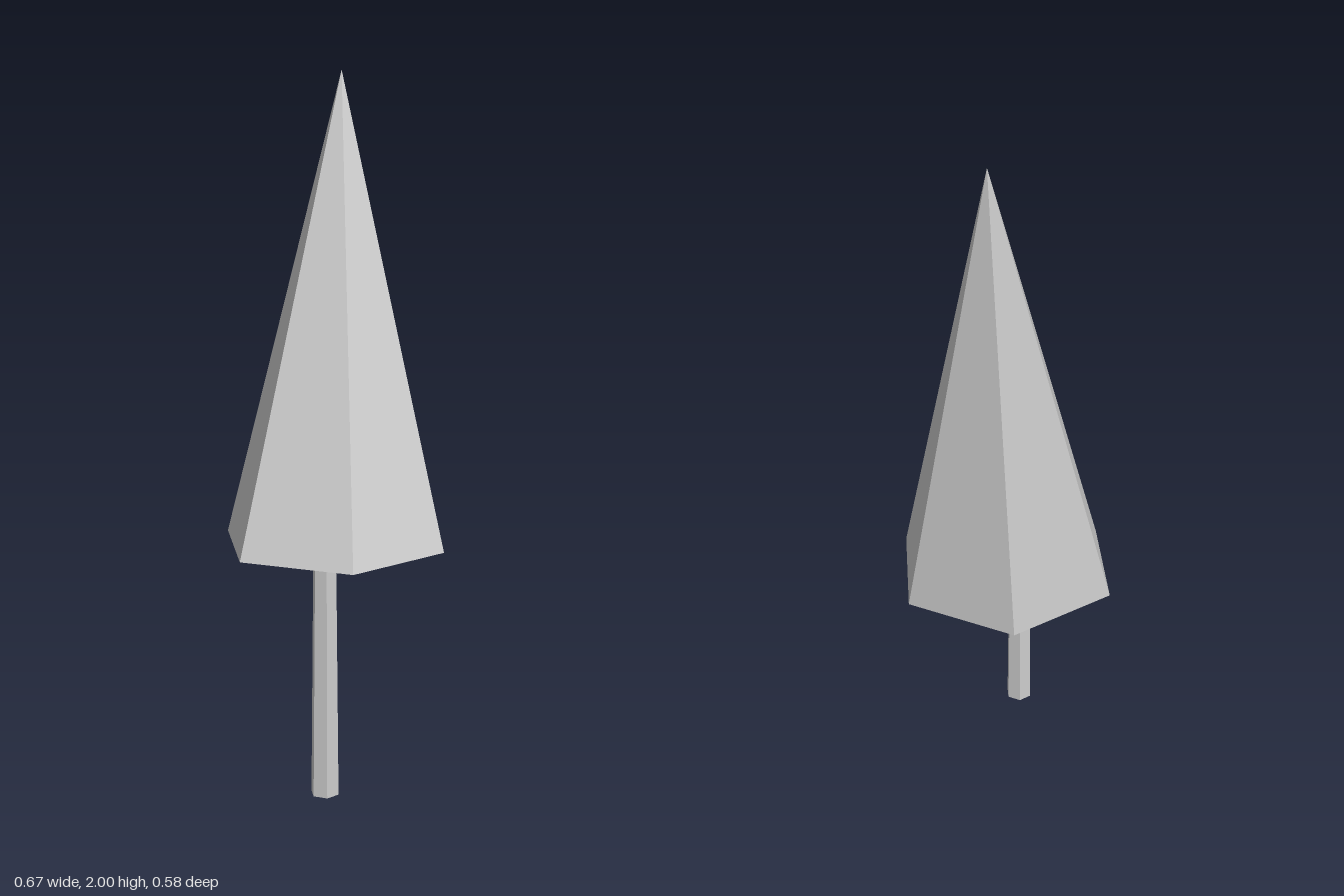
import * as THREE from 'three';

// Open hexagonal tube with corners on the +x and -x axes
function hexShell(topRadius, bottomRadius, height) {
  return new THREE.CylinderGeometry(topRadius, bottomRadius, height, 6, 1, true, Math.PI / 2);
}

export function createModel() {
  const group = new THREE.Group();
  const grey = new THREE.MeshStandardMaterial({
    name: 'light grey', color: 0xcccccc, flatShading: true, side: THREE.DoubleSide,
  });

  const baseY = 0.67, offset = 0.167;

  // Foliage: hollow six-sided cone, sheared so its tip leans to the back left
  const height = 2 - baseY;
  const cone = hexShell(0, 0.333, height).translate(0, height / 2, 0);
  const pos = cone.attributes.position;
  for (let i = 0; i < pos.count; i++) {
    const lean = offset * pos.getY(i) / height;
    pos.setX(i, pos.getX(i) + lean);
    pos.setZ(i, pos.getZ(i) - lean);
  }
  cone.computeVertexNormals();
  const foliage = new THREE.Mesh(cone, grey);
  foliage.name = 'foliage';
  foliage.position.y = baseY;

  // Trunk: thin tapered open tube under the front right of the foliage
  const trunk = new THREE.Mesh(hexShell(0.034, 0.041, baseY), grey);
  trunk.name = 'trunk';
  trunk.position.set(-offset, baseY / 2, offset);

  group.add(foliage, trunk);
  return group;
}
